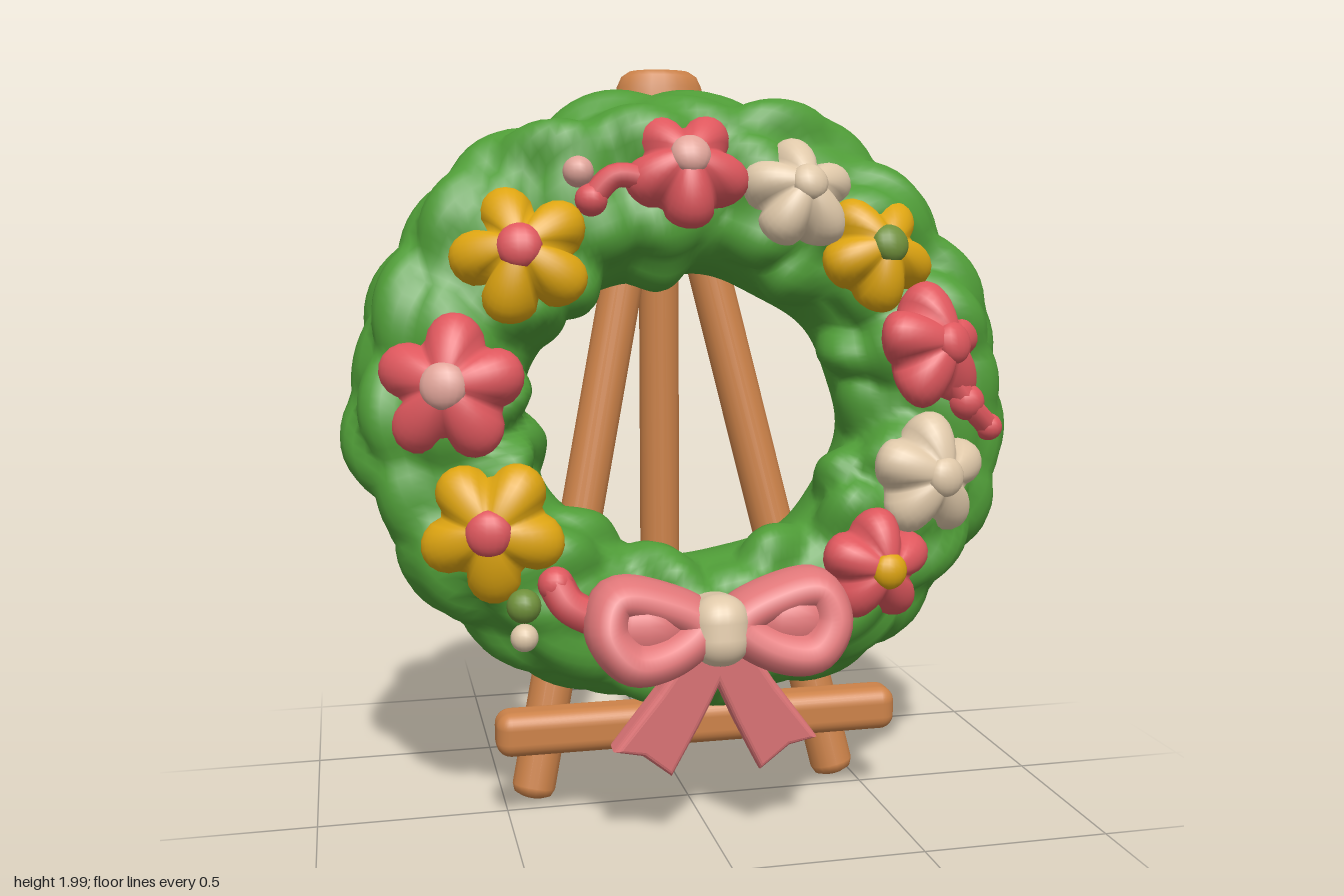
import * as THREE from 'three';
import { RoundedBoxGeometry } from 'three/addons/geometries/RoundedBoxGeometry.js';
import { mergeVertices } from 'three/addons/utils/BufferGeometryUtils.js';

const mat = (name, color) => Object.assign(new THREE.MeshStandardMaterial({ color }), { name });
const V = (x, y, z) => new THREE.Vector3(x, y, z);
const TILT = 0.2, CY = 1.12, CZ = -0.05;

// Point on the wreath body: a runs round the ring, phi round its squarish section
const soft = v => Math.sign(v) * Math.abs(v) ** 0.8;
function wreathPoint(a, phi, lift) {
  const r = (0.205 + 0.022 * Math.sin(a) + lift) * soft(Math.cos(phi));
  return V(Math.cos(a) * (0.64 + r), Math.sin(a) * (0.582 + r) - 0.022, (0.19 + lift) * soft(Math.sin(phi)));
}

// Move every vertex by a rule, welding seams so the shading stays smooth
function reshape(geometry, rule) {
  geometry.deleteAttribute('uv');
  geometry.deleteAttribute('normal');
  const g = mergeVertices(geometry), pos = g.attributes.position;
  for (let i = 0; i < pos.count; i++) pos.setXYZ(i, ...rule(V().fromBufferAttribute(pos, i)).toArray());
  g.computeVertexNormals();
  return g;
}

export function createModel() {
  const M = {
    wood: mat('wood', 0xcc8249), green: mat('leafGreen', 0x4f9c37), red: mat('flowerRed', 0xde575d),
    yellow: mat('flowerYellow', 0xdda411), cream: mat('cream', 0xdfc8a9),
    pink: mat('ribbonPink', 0xe17779), blush: mat('blush', 0xe0a499), bud: mat('budGreen', 0x6f8f3a),
  };
  const model = new THREE.Group();
  model.name = 'wreathOnEasel';
  const add = (parent, name, geometry, material) => {
    const mesh = new THREE.Mesh(geometry, material);
    mesh.name = name;
    parent.add(mesh);
    return mesh;
  };
  const group = (parent, name) => {
    const g = new THREE.Group();
    g.name = name;
    parent.add(g);
    return g;
  };
  const blob = (parent, name, material, p, s) => {
    const mesh = add(parent, name, new THREE.SphereGeometry(1, 16, 12), material);
    mesh.position.copy(p);
    mesh.scale.copy(s);
    return mesh;
  };
  let seed = 7;
  const rand = () => (seed = (seed * 16807) % 2147483647) / 2147483647;

  // Easel legs: round bars with softened ends
  const easel = group(model, 'easel');
  const bar = (name, a, b, r) => {
    const L = a.distanceTo(b), c = r * 0.5;
    const profile = [[0, 0], [r - c, 0], [r - c * 0.3, c * 0.3], [r, c], [r, L]];
    const mesh = add(easel, name, new THREE.LatheGeometry(profile.map(p => new THREE.Vector2(...p)), 16), M.wood);
    mesh.position.copy(a);
    mesh.quaternion.setFromUnitVectors(V(0, 1, 0), b.clone().sub(a).normalize());
  };
  for (const s of [-1, 1]) bar('frontLeg', V(0.01 + s * 0.435, 0.018, -0.07), V(s * 0.045, 1.8, -0.335), 0.06);
  bar('backLeg', V(0, 0.145, -0.375), V(0, 1.8, -0.38), 0.058);
  add(easel, 'ledge', new RoundedBoxGeometry(1.09, 0.118, 0.112, 4, 0.04), M.wood).position.set(0.007, 0.263, 0.095);

  // Easel head: flattened round cap that spreads into the legs
  const headProfile = [[0.125, 0], [0.142, 0.1], [0.142, 0.18], [0.13, 0.3], [0.122, 0.355], [0.108, 0.385], [0.085, 0.4], [0, 0.4]];
  const head = add(easel, 'easelHead', new THREE.LatheGeometry(headProfile.map(p => new THREE.Vector2(...p)), 20), M.wood);
  head.position.set(0, 1.6, -0.35);
  head.scale.z = 0.66;
  head.rotation.x = -0.05;

  // Leaves: plump overlapping lumps over the front, outer and inner sides of the ring
  const leaves = [];
  [[-0.5, 15], [0.1, 17], [0.7, 17], [1.35, 15], [2.0, 13], [2.65, 11]].forEach(([phi, n], row) => {
    for (let i = 0; i < n; i++) leaves.push({
      a: (i + row * 0.5 + rand() * 0.6) / n * Math.PI * 2, phi: phi + (rand() - 0.5) * 0.45,
      skew: (rand() - 0.5) * 1.2, height: 0.035 + rand() * 0.035,
    });
  });
  const wrap = d => d - Math.round(d / (2 * Math.PI)) * 2 * Math.PI;
  const leafLift = (a, phi) => leaves.reduce((best, leaf) => {
    const u = wrap(a - leaf.a) * 0.63, v = wrap(phi - leaf.phi) * 0.22 + u * leaf.skew;
    return Math.max(best, leaf.height * (1 - (u / 0.14) ** 2 - (v / 0.11) ** 2));
  }, 0);

  // Wreath body leaning back
  const wreath = group(model, 'wreath');
  wreath.position.set(0, CY, CZ);
  wreath.rotation.x = -TILT;
  const ring = reshape(new THREE.TorusGeometry(1, 0.5, 48, 180), p => {
    const a = Math.atan2(p.y, p.x), phi = Math.atan2(p.z, Math.hypot(p.x, p.y) - 1);
    return wreathPoint(a, phi, leafLift(a, phi) + 0.006 * Math.sin(a * 8));
  });
  add(wreath, 'leafyRing', ring, M.green);

  // Place a front-facing (x, y) spot on the leaning wreath at a given height off its plane
  const spot = (x, y, h) => V(x, (y - CY - h * Math.sin(TILT)) / Math.cos(TILT), h);

  // Five-lobed flower head, domed and open at the hidden back
  const flowerGeometry = (r, turn) => reshape(
    new THREE.SphereGeometry(1, 50, 14, 0, Math.PI * 2, 0, Math.PI * 0.72).rotateX(Math.PI / 2), p => {
      const lobe = Math.abs(Math.cos(2.5 * (Math.atan2(p.y, p.x) - turn))) ** 0.7;
      const d = Math.hypot(p.x, p.y);
      const k = r * (0.64 + 0.38 * lobe);
      return V(p.x * k, p.y * k, p.z * 0.085 - (1 - lobe) * d * d * 0.035);
    });

  // Flowers: x, y, radius, petal colour, centre colour, turn, outward lean
  const flowers = [
    [-0.02, 1.72, 0.165, M.red, M.blush, 0.95, 0.3],
    [0.28, 1.655, 0.155, M.cream, M.cream, 0.35, 0.3],
    [0.485, 1.505, 0.16, M.yellow, M.bud, 0.95, 0.25],
    [0.63, 1.255, 0.175, M.red, M.red, 0.4, 0.5],
    [0.6, 0.925, 0.165, M.cream, M.cream, 0.3, 0.3],
    [0.44, 0.7, 0.15, M.red, M.yellow, 0.3, 0.25],
    [-0.55, 0.835, 0.18, M.yellow, M.red, 0.95, 0.25],
    [-0.64, 1.18, 0.185, M.red, M.blush, 0.2, 0.3],
    [-0.45, 1.505, 0.18, M.yellow, M.red, 0.63, 0.25],
  ];
  for (const [x, y, r, petal, heart, turn, lean] of flowers) {
    const f = group(wreath, 'flower');
    f.position.copy(spot(x, y, 0.225));
    const a = Math.atan2(f.position.y, f.position.x);
    f.quaternion.setFromUnitVectors(V(0, 0, 1),
      V(Math.cos(a) * Math.sin(lean), Math.sin(a) * Math.sin(lean), Math.cos(lean)));
    add(f, 'petals', flowerGeometry(r, turn), petal);
    blob(f, 'flowerCentre', heart, V(0, 0, 0.07), V(r * 0.32, r * 0.32, 0.035));
  }

  // Sprigs and buds between the flowers
  const sprig = (pts, r) => add(wreath, 'sprig',
    new THREE.TubeGeometry(new THREE.CatmullRomCurve3(pts.map(p => spot(...p))), 12, r, 8), M.red);
  const bud = (material, x, y, h, r) => blob(wreath, 'bud', material, spot(x, y, h), V(r, r, r));
  sprig([[-0.12, 1.69, 0.25], [-0.21, 1.7, 0.25], [-0.28, 1.63, 0.23]], 0.032);
  bud(M.red, -0.27, 1.64, 0.23, 0.042);
  bud(M.blush, -0.3, 1.71, 0.23, 0.04);
  sprig([[0.68, 1.17, 0.23], [0.73, 1.1, 0.22], [0.79, 1.04, 0.19]], 0.032);
  bud(M.red, 0.79, 1.04, 0.19, 0.037);
  bud(M.red, 0.72, 1.11, 0.21, 0.05);
  bud(M.bud, 0.75, 1.205, 0.14, 0.05);
  bud(M.bud, -0.48, 0.65, 0.235, 0.043);
  bud(M.cream, -0.48, 0.57, 0.22, 0.035);
  sprig([[-0.4, 0.7, 0.24], [-0.37, 0.65, 0.25], [-0.3, 0.61, 0.25]], 0.045);
  bud(M.red, -0.4, 0.7, 0.24, 0.045);

  // Bow: plump loops with a shallow hollow, notched tails and a knot
  const bow = group(model, 'bow');
  const ZS = 1.6;
  for (const s of [-1, 1]) {
    const loop = [[0.05, 0.59], [0.15, 0.645], [0.26, 0.66], [0.285, 0.59], [0.23, 0.52], [0.13, 0.53]]
      .map(([x, y]) => V(s * x, y, (0.325 + x * 0.1 + (0.59 - y) * 0.45) / ZS));
    const curve = new THREE.CatmullRomCurve3(loop, true);
    add(bow, 'bowLoop', new THREE.TubeGeometry(curve, 48, 0.057, 14, true), M.pink).scale.z = ZS;
    blob(bow, 'bowLoopInside', M.pink, V(s * 0.19, 0.59, 0.335), V(0.12, 0.09, 0.08));

    const outline = [[0, 0.54], [0.06, 0.54], [0.14, 0.42], [0.245, 0.285], [0.185, 0.275], [0.12, 0.22], [0.06, 0.34], [0, 0.47]];
    const tailGeo = new THREE.ExtrudeGeometry(new THREE.Shape(outline.map(([x, y]) => new THREE.Vector2(s * x, y))),
      { depth: 0.03, bevelThickness: 0.022, bevelSize: 0.016, bevelSegments: 4 });
    const tail = add(bow, 'bowTail', tailGeo, M.pink);
    tail.rotation.x = 0.1;
    tail.position.z = 0.26;
  }
  const knot = add(bow, 'bowKnot', new RoundedBoxGeometry(0.15, 0.18, 0.2, 5, 0.07), M.cream);
  knot.position.set(-0.005, 0.58, 0.345);
  knot.rotation.x = -0.15;
  return model;
}
